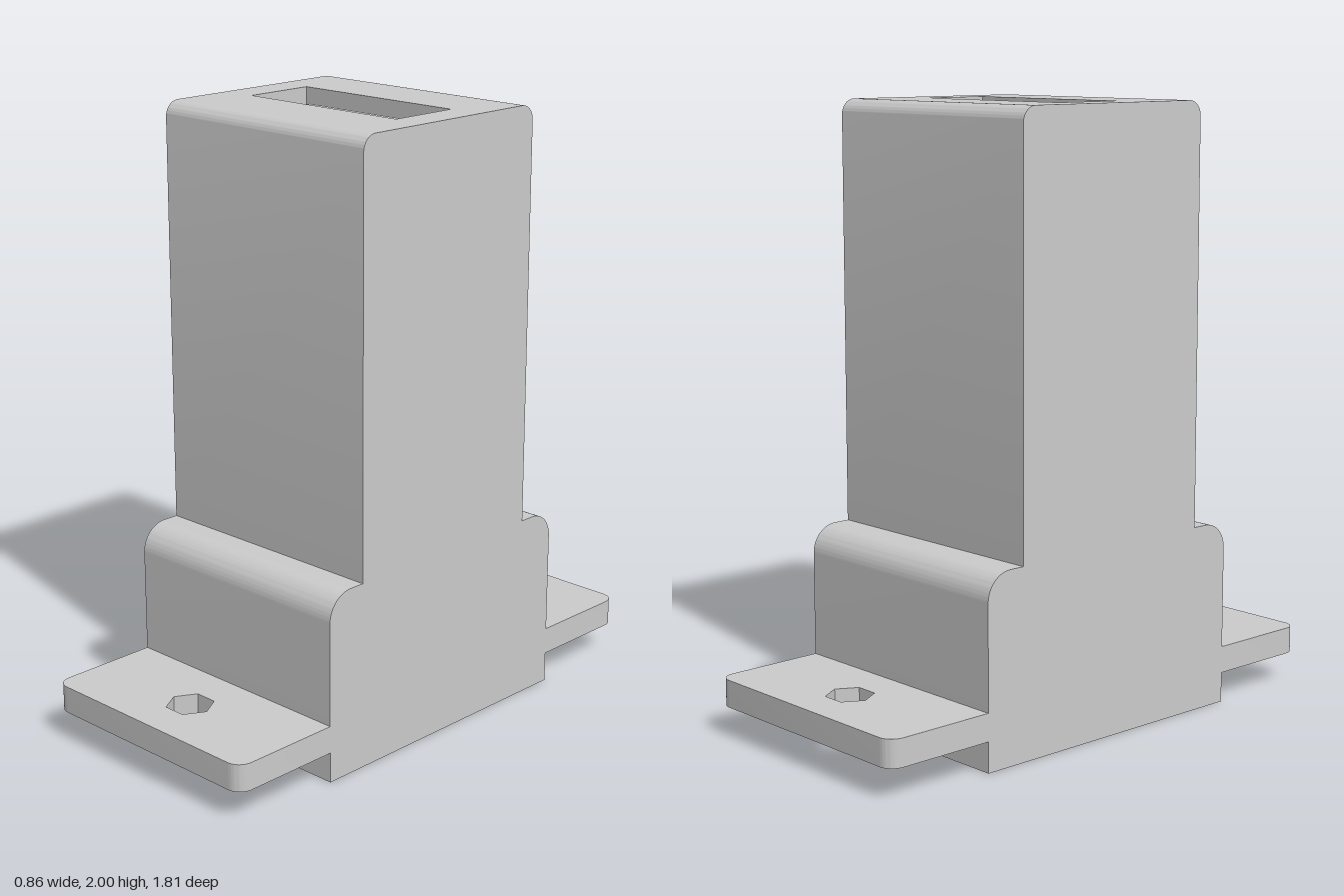
import * as THREE from 'three';
import { mergeGeometries, toCreasedNormals } from 'three/addons/utils/BufferGeometryUtils.js';

const HALF_W = 0.428, TOP = 2, COL_Z = 0.38, COL_R = 0.05;
const SLOT = { w: 0.625, d: 0.245, z: -0.003, depth: 0.45 };

function rect(w, h, cx = 0, cy = 0, Type = THREE.Shape) {
  const s = new Type();
  s.moveTo(cx - w / 2, cy - h / 2);
  s.lineTo(cx + w / 2, cy - h / 2);
  s.lineTo(cx + w / 2, cy + h / 2);
  s.lineTo(cx - w / 2, cy + h / 2);
  s.closePath();
  return s;
}

// Remove the flat triangles lying at height y
function openAt(geometry, y) {
  const g = geometry.index ? geometry.toNonIndexed() : geometry;
  const p = g.attributes.position, kept = [];
  for (let i = 0; i < p.count; i += 3) {
    if ([0, 1, 2].every((k) => Math.abs(p.getY(i + k) - y) < 1e-4)) continue;
    for (let k = 0; k < 3; k++) kept.push(p.getX(i + k), p.getY(i + k), p.getZ(i + k));
  }
  const out = new THREE.BufferGeometry();
  out.setAttribute('position', new THREE.Float32BufferAttribute(kept, 3));
  return out;
}

// Stepped side profile with rounded shoulders, swept across the width
function bodyGeometry() {
  const baseZ = 0.523, shoulderY = 0.62, r = 0.09;
  const s = new THREE.Shape();
  s.moveTo(-baseZ, 0);
  s.lineTo(baseZ, 0);
  s.lineTo(baseZ, shoulderY - r);
  s.absarc(baseZ - r, shoulderY - r, r, 0, Math.PI / 2);
  s.lineTo(COL_Z, shoulderY);
  s.lineTo(COL_Z, TOP - COL_R);
  s.absarc(COL_Z - COL_R, TOP - COL_R, COL_R, 0, Math.PI / 2);
  s.lineTo(-COL_Z + COL_R, TOP);
  s.absarc(-COL_Z + COL_R, TOP - COL_R, COL_R, Math.PI / 2, Math.PI);
  s.lineTo(-COL_Z, shoulderY);
  s.lineTo(-baseZ + r, shoulderY);
  s.absarc(-baseZ + r, shoulderY - r, r, Math.PI / 2, Math.PI);
  s.closePath();
  const hull = new THREE.ExtrudeGeometry(s, { depth: HALF_W * 2, bevelEnabled: false, curveSegments: 12 });
  hull.translate(0, 0, -HALF_W).rotateY(Math.PI / 2);

  // Top face with the slot opening
  const lid = rect(HALF_W * 2, (COL_Z - COL_R) * 2);
  lid.holes.push(rect(SLOT.w, SLOT.d, 0, -SLOT.z, THREE.Path));
  const top = new THREE.ShapeGeometry(lid).rotateX(-Math.PI / 2).translate(0, TOP, 0);

  // Slot walls and floor, facing inward
  const box = new THREE.BoxGeometry(SLOT.w, SLOT.depth, SLOT.d);
  box.translate(0, TOP - SLOT.depth / 2, SLOT.z);
  box.index.array.reverse();

  const merged = mergeGeometries([openAt(hull, TOP), openAt(top, -1), openAt(box, TOP)]);
  return toCreasedNormals(merged, 0.5);
}

// Mounting flange with rounded outer corners and a hexagonal hole
function flangeGeometry() {
  const inner = 0.52, outer = 0.905, r = 0.05, holeZ = 0.715, holeR = 0.077;
  const s = new THREE.Shape();
  s.moveTo(HALF_W, -inner);
  s.lineTo(-HALF_W, -inner);
  s.lineTo(-HALF_W, -outer + r);
  s.absarc(-HALF_W + r, -outer + r, r, Math.PI, Math.PI * 1.5);
  s.lineTo(HALF_W - r, -outer);
  s.absarc(HALF_W - r, -outer + r, r, Math.PI * 1.5, Math.PI * 2);
  s.closePath();
  const hex = [];
  for (let i = 0; i < 6; i++) {
    const a = (i * Math.PI) / 3;
    hex.push(new THREE.Vector2(holeR * Math.cos(a), -holeZ + holeR * Math.sin(a)));
  }
  s.holes.push(new THREE.Path(hex));
  const g = new THREE.ExtrudeGeometry(s, { depth: 0.09, bevelEnabled: false, curveSegments: 8 });
  return toCreasedNormals(g.rotateX(-Math.PI / 2).translate(0, 0.1, 0), 0.5);
}

// Connector tongue with a chamfered tip, standing on the slot floor
function tongueGeometry() {
  const chamfer = 0.022, tip = 0.03, tipY = TOP - 0.04;
  const length = SLOT.depth - 0.04 - tip;
  const g = new THREE.ExtrudeGeometry(rect(0.48, 0.036), {
    depth: length, bevelEnabled: true, bevelSegments: 1, bevelSize: chamfer, bevelThickness: tip,
  });
  return g.rotateX(-Math.PI / 2).translate(0, tipY - length - tip, -0.047);
}

export function createModel() {
  const model = new THREE.Group();
  model.name = 'dockingStand';
  const material = new THREE.MeshStandardMaterial({ color: 0xcccccc });
  const add = (name, geometry) => {
    const mesh = new THREE.Mesh(geometry, material);
    mesh.name = name;
    model.add(mesh);
    return mesh;
  };
  add('body', bodyGeometry());
  add('connectorTongue', tongueGeometry());
  const flange = flangeGeometry();
  add('frontFlange', flange);
  add('backFlange', flange).rotation.y = Math.PI;
  return model;
}
